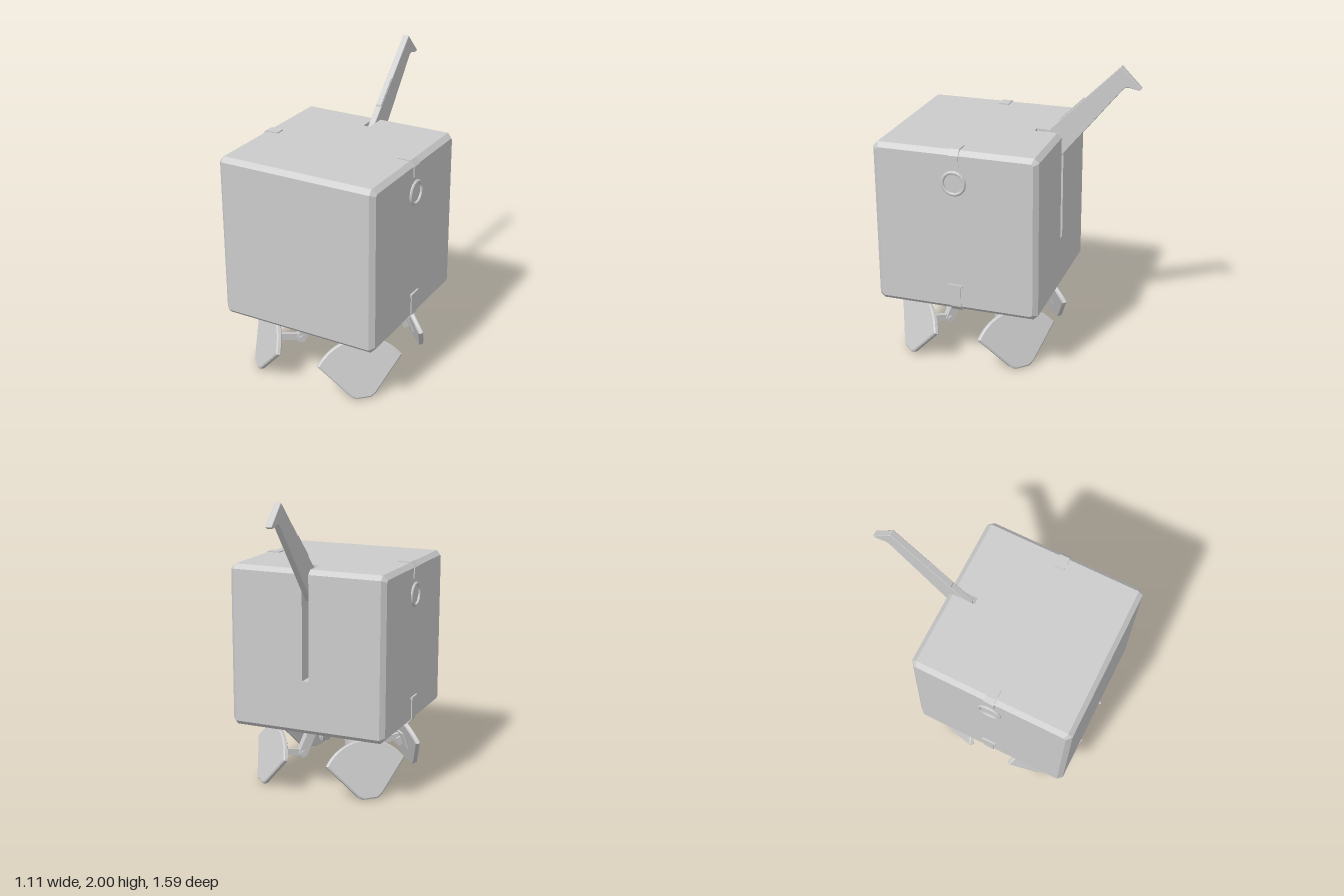
import * as THREE from 'three';
import { toCreasedNormals } from 'three/addons/utils/BufferGeometryUtils.js';

const mat = new THREE.MeshStandardMaterial({ color: 0xcccccc });
const HALF = 0.543, LOW = 0.44, HIGH = 1.53, SLOT = 0.023, CUT = 0.03;
const MID_Z = 0.243;

function add(parent, name, geometry, x = 0, y = 0, z = 0) {
  const mesh = new THREE.Mesh(geometry, mat);
  mesh.name = name;
  mesh.position.set(x, y, z);
  parent.add(mesh);
  return mesh;
}

function outline(points) {
  return new THREE.Shape(points.map(([a, b]) => new THREE.Vector2(a, b)));
}

// Extrudes a (z, y) outline sideways, centred on x = 0
function slab(points, width, bevel = 0) {
  const g = new THREE.ExtrudeGeometry(outline(points), {
    depth: width - 2 * bevel, bevelEnabled: bevel > 0, bevelThickness: bevel,
    bevelSize: bevel, bevelOffset: -bevel, bevelSegments: 1,
  });
  g.translate(0, 0, bevel - width / 2);
  g.rotateY(-Math.PI / 2);
  return g;
}

// Half of the cube: bevelled outside, flat where it meets the slot
function halfCube() {
  const h = HALF, c = CUT;
  const shape = outline([[-h + c, LOW], [h - c, LOW], [h, LOW + c], [h, HIGH - c],
    [h - c, HIGH], [-h + c, HIGH], [-h, HIGH - c], [-h, LOW + c]]);
  const g = new THREE.ExtrudeGeometry(shape, {
    depth: HALF - SLOT - CUT, bevelThickness: CUT, bevelSize: CUT, bevelOffset: -CUT, bevelSegments: 1,
  });
  const p = g.attributes.position;
  for (let i = 0; i < p.count; i++) p.setZ(i, Math.max(0, p.getZ(i)) + SLOT);
  g.rotateY(-Math.PI / 2);
  return toCreasedNormals(g, 0.5);
}

// Round-ended link between two (y, z) points
function link(parent, name, [y1, z1], [y2, z2], width, radius) {
  const len = Math.hypot(y2 - y1, z2 - z1);
  const shape = new THREE.Shape();
  shape.absarc(0, 0, radius, Math.PI / 2, Math.PI * 1.5);
  shape.absarc(len, 0, radius, -Math.PI / 2, Math.PI / 2);
  const g = slab(shape.getPoints(8).slice(0, -1).map((v) => [v.x, v.y]), width);
  const mesh = add(parent, name, g, 0, y1, z1);
  mesh.rotation.x = -Math.atan2(y2 - y1, z2 - z1);
}

function pin(parent, name, y, z, radius, width) {
  const g = new THREE.CylinderGeometry(radius, radius, width, 20).rotateZ(Math.PI / 2);
  add(parent, name, toCreasedNormals(g, 0.6), 0, y, z);
}

function makeBody() {
  const body = new THREE.Group();
  body.name = 'body';
  const h = HALF, c = CUT;
  add(body, 'rightHalf', halfCube());
  add(body, 'leftHalf', halfCube()).rotation.y = Math.PI;
  // Core strip, notched to leave the slot in the back and top
  add(body, 'slottedCore', slab([[-h + c, LOW], [h - c, LOW], [h, LOW + c], [h, HIGH - c],
    [h - c, HIGH], [-0.363, HIGH], [-0.363, 0.8], [-h, 0.8], [-h, LOW + c]], 2 * SLOT));

  // Clips and ring on each side
  for (const s of [1, -1]) {
    const side = new THREE.Group();
    side.name = s > 0 ? 'leftFittings' : 'rightFittings';
    if (s < 0) side.rotation.y = Math.PI;
    const clip = (name, yEdge, dir, reach) => {
      // Bent strip wrapping over the cube's edge
      const o = 0.007, e = h + o;
      const pts = [[h - 0.11, -0.01], [h - 0.11, o], [e - c, o], [e, -c], [e, -reach], [h - 0.01, -reach],
        [h - 0.01, -c], [h - c, -0.01]];
      const list = pts.map(([x, y]) => [x, yEdge + dir * y]);
      const g = new THREE.ExtrudeGeometry(outline(list), { depth: 0.07, bevelEnabled: false });
      add(side, name, g, 0, 0, -0.035);
    };
    clip('topClip', HIGH, 1, 0.1);
    clip('bottomClip', LOW, -1, 0.17);
    add(side, 'clipHead', new THREE.BoxGeometry(0.025, 0.018, 0.1), h, 0.615, 0);
    const ring = new THREE.LatheGeometry([[0.062, -0.01], [0.062, 0.008], [0.067, 0.013], [0.076, 0.013],
      [0.083, 0.006], [0.083, -0.01]].map(([r, y]) => new THREE.Vector2(r, y)).reverse(), 40);
    ring.rotateZ(-Math.PI / 2);
    add(side, 'sideRing', toCreasedNormals(ring, 0.6), h, 1.318, 0).material =
      new THREE.MeshStandardMaterial({ color: 0xcccccc, side: THREE.DoubleSide });
    body.add(side);
  }
  return body;
}

function makeTurret(parent) {
  const profile = [[0, 0.305], [0.045, 0.305], [0.07, 0.325], [0.07, 0.365], [0.185, 0.365], [0.195, 0.33],
    [0.225, 0.33], [0.235, 0.34], [0.235, 0.405], [0.3, 0.405], [0.305, 0.415], [0.345, 0.415],
    [0.355, 0.422], [0.355, 0.445]];
  const g = new THREE.LatheGeometry(profile.map(([r, y]) => new THREE.Vector2(r, y)), 48);
  add(parent, 'turntable', toCreasedNormals(g, 0.5));
}

function makeLeg(index) {
  const leg = new THREE.Group();
  leg.name = 'leg' + (index + 1);
  leg.rotation.y = Math.PI / 4 + index * Math.PI / 2;

  // Two-part linkage with hinge pins
  const hip = [0.355, 0.19], knee = [0.18, 0.27], ankle = [0.215, 0.475];
  link(leg, 'upperLink', hip, knee, 0.055, 0.032);
  link(leg, 'lowerLink', knee, ankle, 0.03, 0.022);
  pin(leg, 'kneePin', ...knee, 0.02, 0.075);
  pin(leg, 'anklePin', ...ankle, 0.018, 0.07);

  // Fan-shaped foot plate, leaning in at the top
  const foot = new THREE.Group();
  foot.name = 'foot';
  foot.position.set(0, 0.012, 0.58);
  foot.rotation.x = -0.338;
  const fan = new THREE.Shape();
  fan.moveTo(-0.05, 0);
  fan.lineTo(0.05, 0);
  fan.lineTo(0.085, 0.022);
  fan.lineTo(0.28, 0.245);
  const r = 0.34, a = Math.asin(0.28 / r);
  fan.absarc(0, 0.245 - r * Math.cos(a) + 0.0, r, Math.PI / 2 - a, Math.PI / 2 + a);
  fan.lineTo(-0.085, 0.022);
  const plate = new THREE.ExtrudeGeometry(fan, {
    depth: 0.02, bevelThickness: 0.007, bevelSize: 0.009, bevelOffset: -0.009, bevelSegments: 1, curveSegments: 16,
  });
  add(foot, 'footPlate', toCreasedNormals(plate, 0.4), 0, 0, -0.027);
  add(foot, 'footBracket', new THREE.BoxGeometry(0.15, 0.13, 0.014), 0, 0.2, -0.039);
  for (const s of [1, -1]) {
    add(foot, 'bracketLug', new THREE.BoxGeometry(0.014, 0.06, 0.05), s * 0.027, 0.2, -0.06);
  }
  leg.add(foot);
  return leg;
}

function makeArm() {
  const arm = new THREE.Group();
  arm.name = 'handleArm';
  add(arm, 'armBlade', slab([[-0.15, 1.48], [-0.16, 1.36], [-0.25, 1.32], [-0.3, 1.38], [-0.685, 1.855],
    [-0.7, 1.868], [-0.72, 1.87], [-0.785, 1.857], [-0.8, 1.868], [-0.67, 2.0]], 0.042, 0.003));
  // Raised grip on the leading edge
  add(arm, 'armGrip', slab([[-0.28, 1.6], [-0.285, 1.625], [-0.43, 1.77], [-0.442, 1.76], [-0.442, 1.745]], 0.036));
  pin(arm, 'armPivot', 1.41, -0.21, 0.025, 0.046);
  return arm;
}

export function createModel() {
  const model = new THREE.Group();
  model.name = 'cubeRobot';
  const cube = new THREE.Group();
  cube.name = 'cubeAssembly';
  cube.position.z = MID_Z;
  cube.add(makeBody());
  makeTurret(cube);
  for (let i = 0; i < 4; i++) cube.add(makeLeg(i));
  model.add(cube, makeArm());
  return model;
}
